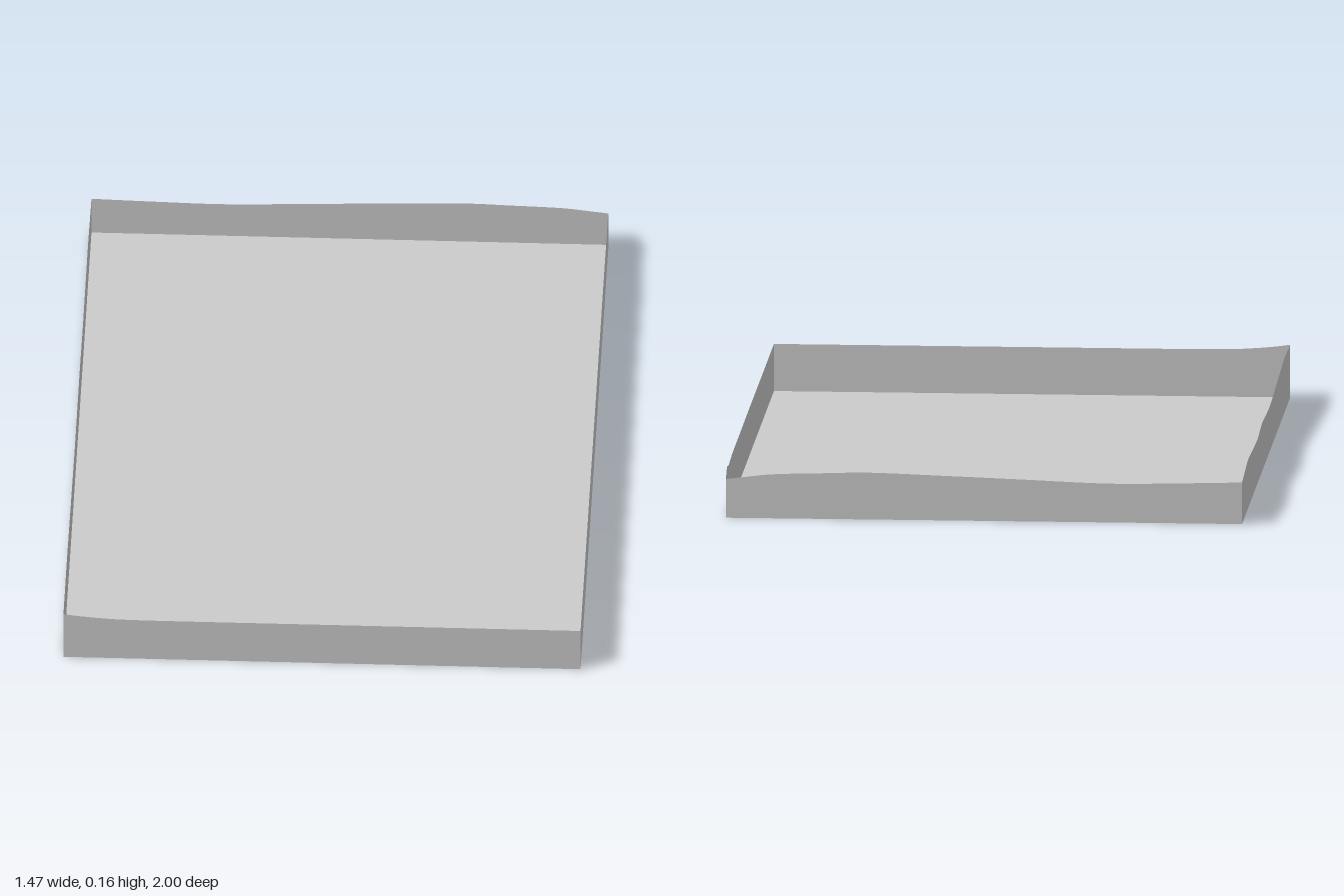
import * as THREE from 'three';

const HALF_X = 0.735, HALF_Z = 1;

export function createModel() {
  const group = new THREE.Group();
  const material = new THREE.MeshStandardMaterial({ color: 0xcccccc, side: THREE.DoubleSide, flatShading: true });

  const add = (name, geometry) => {
    const mesh = new THREE.Mesh(geometry, material);
    mesh.name = name;
    group.add(mesh);
    return mesh;
  };

  // Thin upright sheet: straight bottom edge, wavy top edge given as [position, height]
  const wallGeometry = (profile) => {
    const points = profile.map(([u, h]) => new THREE.Vector2(u, h));
    const first = points[0], last = points[points.length - 1];
    const top = new THREE.SplineCurve(points).getPoints(points.length * 5);
    return new THREE.ShapeGeometry(new THREE.Shape([
      new THREE.Vector2(first.x, 0), new THREE.Vector2(last.x, 0), ...top.reverse(),
    ]));
  };

  // Floor sheet
  add('floor', new THREE.PlaneGeometry(HALF_X * 2, HALF_Z * 2).rotateX(-Math.PI / 2));

  // Front wall, running along x, rising at its -x end
  add('frontWall', wallGeometry([
    [-HALF_X, 0.152], [-0.69, 0.146], [-0.62, 0.14], [-0.55, 0.137], [-0.4, 0.136], [0, 0.136], [HALF_X, 0.136],
  ])).position.z = HALF_Z;

  // Back wall, uneven along its whole length
  add('backWall', wallGeometry([
    [-HALF_X, 0.12], [-0.55, 0.115], [-0.35, 0.112], [-0.1, 0.121], [0.1, 0.128],
    [0.32, 0.135], [0.45, 0.132], [0.6, 0.127], [0.69, 0.117], [HALF_X, 0.112],
  ])).position.z = -HALF_Z;

  // Side walls: profiles run along z, so the sheets are turned to make local x point to +z
  const addSide = (name, x, profile) => {
    const geometry = wallGeometry(profile).rotateY(-Math.PI / 2);
    add(name, geometry).position.x = x;
  };

  // Side wall on +x, level with a nick at the back corner
  addSide('leftWall', HALF_X, [
    [-HALF_Z, 0.112], [-0.975, 0.122], [-0.945, 0.136], [-0.88, 0.13], [-0.8, 0.133],
    [-0.7, 0.136], [-0.4, 0.136], [0, 0.137], [0.5, 0.136], [HALF_Z, 0.136],
  ]);

  // Side wall on -x, highest towards the front
  addSide('rightWall', -HALF_X, [
    [-HALF_Z, 0.12], [-0.88, 0.13], [-0.75, 0.14], [-0.6, 0.134], [-0.35, 0.128], [-0.17, 0.139],
    [0, 0.133], [0.18, 0.13], [0.4, 0.14], [0.6, 0.15], [0.78, 0.158], [0.9, 0.154], [HALF_Z, 0.152],
  ]);

  return group;
}
